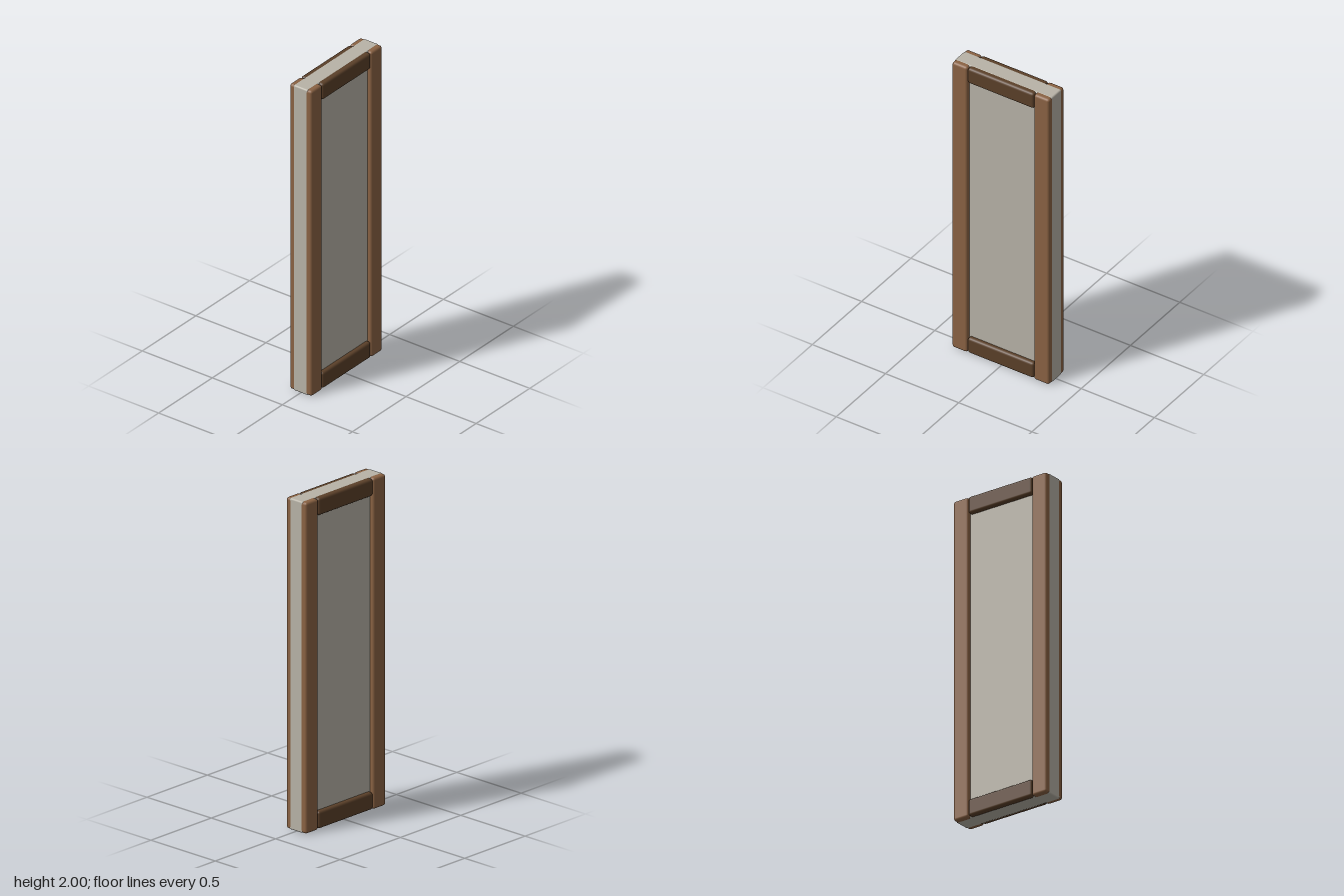
import * as THREE from 'three';
import { RoundedBoxGeometry } from 'three/addons/geometries/RoundedBoxGeometry.js';

export function createModel() {
  const model = new THREE.Group();
  const stileWood = new THREE.MeshStandardMaterial({ color: 0x8a6243 });
  const railWood = new THREE.MeshStandardMaterial({ color: 0x5b4029 });
  const plaster = new THREE.MeshStandardMaterial({ color: 0xb8b3a7 });

  // Box with softly bevelled edges, placed by its centre
  function addBlock(name, material, [w, h, d], [x, y], bevel) {
    const mesh = new THREE.Mesh(new RoundedBoxGeometry(w, h, d, 2, bevel), material);
    mesh.name = name;
    mesh.position.set(x, y, 0);
    model.add(mesh);
  }

  // Infill panel, reaching the outer faces of the frame
  addBlock('panel', plaster, [0.664, 2, 0.104], [0, 1], 0.01);

  // Upright stiles
  for (const [name, side] of [['leftStile', 1], ['rightStile', -1]]) {
    addBlock(name, stileWood, [0.104, 1.998, 0.158], [side * 0.2795, 1], 0.015);
  }

  // Cross rails
  addBlock('topRail', railWood, [0.452, 0.104, 0.158], [0, 1.947], 0.015);
  addBlock('bottomRail', railWood, [0.452, 0.104, 0.158], [0, 0.056], 0.015);

  return model;
}
